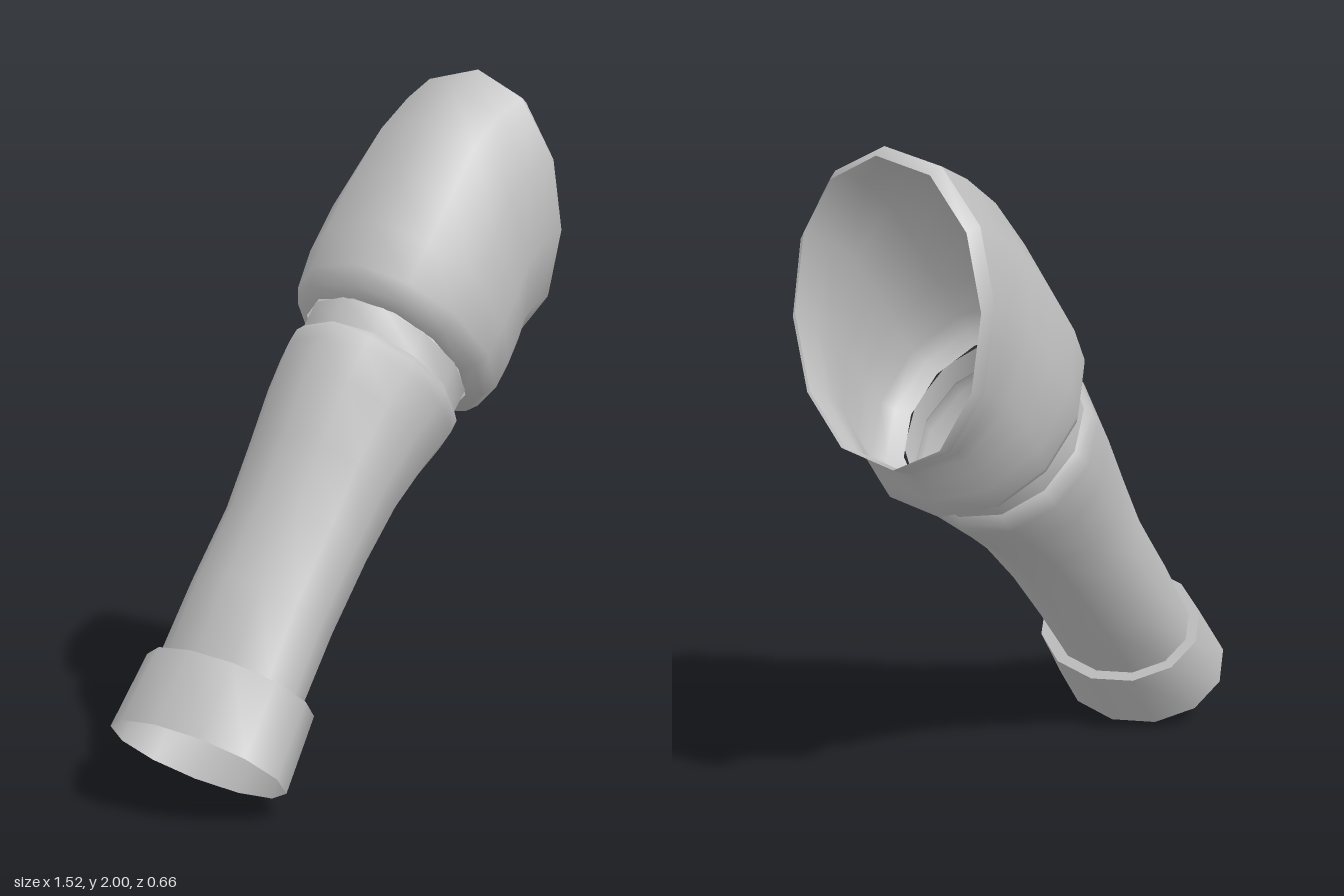
import * as THREE from 'three';

const SIDES = 12;

// Loft through tilted rings: [upper x, upper y, lower x, lower y, half depth, z shift]
// turn rotates the corners round the ring, fullness below 1 squares the sides
function loft(rings, turn, fullness) {
  const pos = [], idx = [];
  for (const [ax, ay, bx, by, w, dz = 0] of rings) {
    for (let j = 0; j < SIDES; j++) {
      const t = (j / SIDES) * Math.PI * 2 + turn, c = Math.cos(t), s = Math.sin(t);
      pos.push(
        (ax + bx) / 2 + (c * (ax - bx)) / 2,
        (ay + by) / 2 + (c * (ay - by)) / 2,
        w * Math.sign(s) * Math.abs(s) ** fullness + dz
      );
    }
  }
  for (let i = 0; i < rings.length - 1; i++) {
    for (let j = 0; j < SIDES; j++) {
      const a = i * SIDES + j, b = i * SIDES + ((j + 1) % SIDES);
      idx.push(a, b, a + SIDES, b, b + SIDES, a + SIDES);
    }
  }
  const g = new THREE.BufferGeometry();
  g.setAttribute('position', new THREE.Float32BufferAttribute(pos, 3));
  g.setIndex(idx);
  g.computeVertexNormals();
  return g;
}

export function createModel() {
  const group = new THREE.Group();
  group.name = 'sleeve';
  const grey = new THREE.MeshStandardMaterial({ color: 0xc0c0c0, side: THREE.DoubleSide });
  grey.name = 'light grey cloth';
  const add = (name, rings, turn = 0, fullness = 1) => {
    const m = new THREE.Mesh(loft(rings, turn, fullness), grey);
    m.name = name;
    group.add(m);
  };

  // Shared rings where parts meet at a hard edge
  const cuffTop = [-0.61, 0.45, -0.288, 0.188, 0.275, 0.01];
  const armStart = [-0.585, 0.43, -0.312, 0.207, 0.235, 0.005];
  const armEnd = [0.015, 1.293, 0.408, 0.925, 0.253];
  const bandEnd = [0.065, 1.358, 0.465, 0.98, 0.25];
  const rimOuter = [0.65, 2.0, 0.73, 1.152, 0.325];
  const rimInner = [0.69, 1.982, 0.757, 1.164, 0.305];

  // Cuff at the wrist with its flat ledge
  add('cuff', [[-0.76, 0.275, -0.42, 0.0, 0.287, 0.015], cuffTop]);
  add('cuffLedge', [cuffTop, armStart]);

  // Forearm, swelling towards the elbow and rounding in at its end
  add('forearm', [
    armStart,
    [-0.45, 0.63, -0.155, 0.39, 0.228],
    [-0.3, 0.825, 0.0, 0.568, 0.227],
    [-0.2, 1.0, 0.13, 0.695, 0.237],
    [-0.1, 1.17, 0.26, 0.79, 0.257],
    [-0.04, 1.255, 0.375, 0.865, 0.272],
    [-0.01, 1.285, 0.405, 0.895, 0.27],
    armEnd
  ]);

  // Narrow band at the elbow
  add('elbowBand', [armEnd, bandEnd]);

  // Flared upper sleeve, open at the shoulder
  const turn = 0.12, fullness = 0.92;
  add('upperSleeve', [
    bandEnd,
    [0.05, 1.4, 0.518, 0.968, 0.29],
    [0.07, 1.455, 0.563, 0.978, 0.315],
    [0.15, 1.57, 0.598, 1.033, 0.33],
    [0.27, 1.715, 0.635, 1.085, 0.328],
    [0.4, 1.855, 0.665, 1.12, 0.315],
    [0.53, 1.945, 0.695, 1.138, 0.31],
    rimOuter
  ], turn, fullness);
  add('shoulderRim', [rimOuter, rimInner], turn, fullness);

  return group;
}
